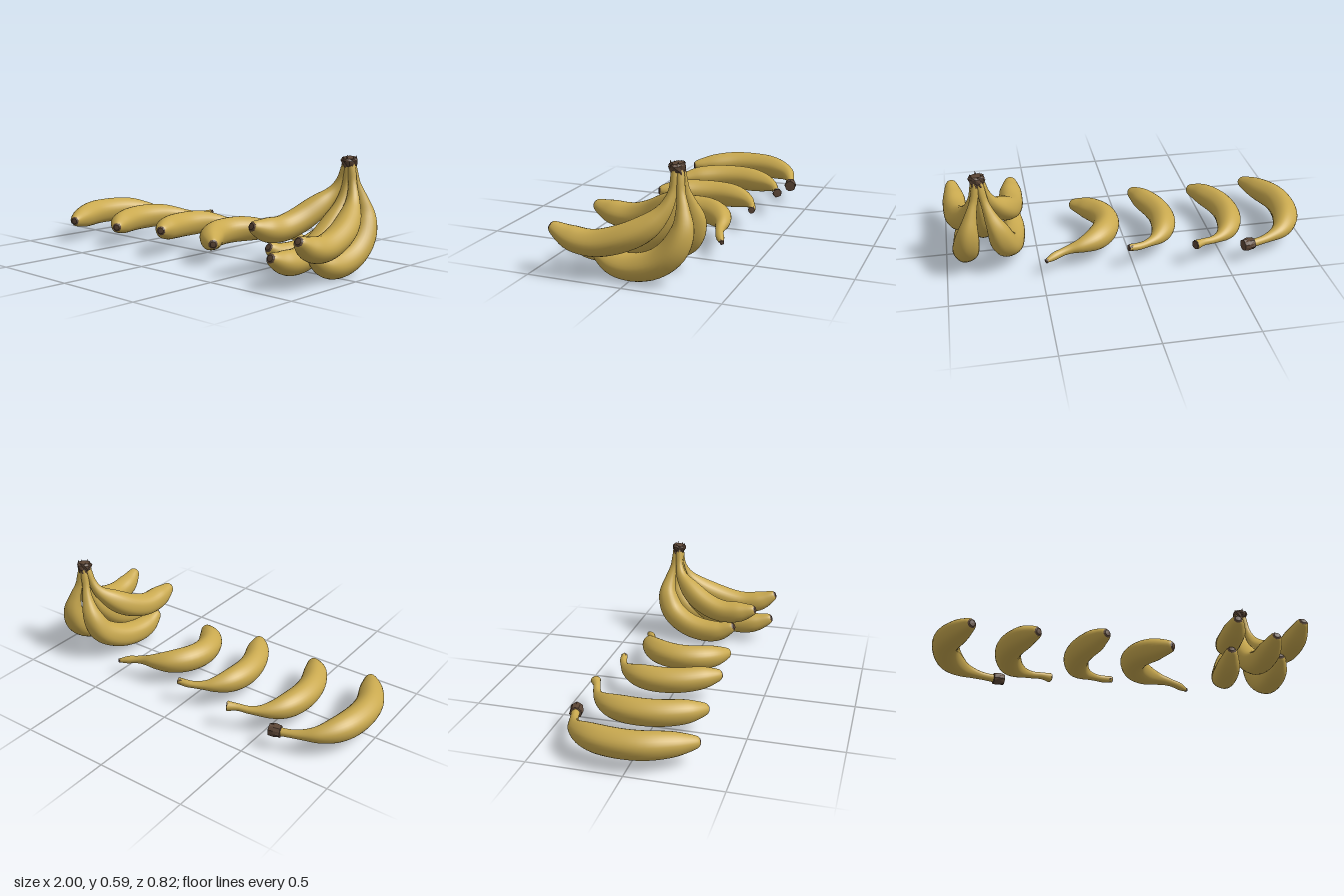
import * as THREE from 'three';

const skin = new THREE.MeshStandardMaterial({ color: 0xc9a94f });
skin.name = 'banana yellow';
const bark = new THREE.MeshStandardMaterial({ color: 0x5c4636 });
bark.name = 'dried brown';

// Sweeps rings [u, radius] along a curve; u may run slightly past either end
function sweep(curve, rings, ref, sides, wobble, flat) {
  const pos = [], idx = [];
  rings.forEach(([u, r], i) => {
    const c = Math.min(1, Math.max(0, u));
    const t = curve.getTangentAt(c);
    const p = curve.getPointAt(c).addScaledVector(t, u - c);
    const n = ref.clone().addScaledVector(t, -ref.dot(t)).normalize();
    const b = t.clone().cross(n);
    for (let j = 0; j < sides; j++) {
      const a = (j / sides) * Math.PI * 2;
      const k = r * (1 + wobble * Math.cos(5 * a + (flat ? i * 2 : 0)));
      const v = p.clone().addScaledVector(n, Math.cos(a) * k).addScaledVector(b, Math.sin(a) * k);
      pos.push(v.x, v.y, v.z);
      if (i < rings.length - 1) {
        const q = i * sides, m = (j + 1) % sides;
        idx.push(q + j, q + m, q + sides + j, q + m, q + sides + m, q + sides + j);
      }
    }
  });
  let g = new THREE.BufferGeometry();
  g.setAttribute('position', new THREE.Float32BufferAttribute(pos, 3));
  g.setIndex(idx);
  if (flat) g = g.toNonIndexed();
  g.computeVertexNormals();
  return g;
}

// One fruit: path runs from blossom tip to stem end
function banana(name, path, ref, fat, neck, end, capLength, capRadius) {
  const group = new THREE.Group();
  group.name = name;
  const curve = new THREE.CatmullRomCurve3(path.map((p) => new THREE.Vector3(...p)), false, 'centripetal');
  curve.arcLengthDivisions = 400;
  const profile = [
    [0, 0.024], [0.015, 0.032], [0.06, 0.045], [0.14, 0.062], [0.25, fat * 0.97], [0.4, fat],
    [0.54, fat * 0.98], [0.64, fat * 0.85], [0.73, fat * 0.6], [0.8, neck * 1.35], [0.87, neck], [0.94, neck], [1, end],
  ].map(([u, r]) => new THREE.Vector2(u, r));
  const rings = new THREE.SplineCurve(profile).getPoints(48).map((v) => [v.x, v.y]);
  const add = (part, geo, mat) => {
    const m = new THREE.Mesh(geo, mat);
    m.name = part;
    group.add(m);
  };
  add('skin', sweep(curve, rings, ref, 30, 0.018, false), skin);
  // Dark blossom end
  add('blossomTip', sweep(curve, [[-0.007, 0], [-0.006, 0.016], [0.002, 0.0255]], ref, 10, 0.03, true), bark);
  // Dried stem end
  const s = 1 - capLength;
  add('stemCap', sweep(curve, [[s, end * 0.8], [s + 0.003, capRadius * 0.92], [1 - capLength * 0.4, capRadius],
    [1.004, capRadius * 0.92], [1.005, 0]], ref, 11, 0.08, true), bark);
  return group;
}

export function createModel() {
  const root = new THREE.Group();
  root.name = 'bananas';
  const up = new THREE.Vector3(0, 1, 0), side = new THREE.Vector3(1, 0, 0);

  // Four loose bananas lying in a row
  const singles = [
    { path: [[-0.795, 0.125, 0.32], [-0.86, 0.13, 0.2], [-0.915, 0.135, 0.07], [-0.923, 0.135, -0.06], [-0.895, 0.133, -0.19],
      [-0.83, 0.125, -0.29], [-0.74, 0.115, -0.34], [-0.66, 0.11, -0.365], [-0.595, 0.11, -0.38]],
      fat: 0.073, neck: 0.022, end: 0.024, cap: 0.065, capR: 0.034 },
    { path: [[-0.455, 0.125, 0.28], [-0.52, 0.13, 0.19], [-0.577, 0.132, 0.06], [-0.588, 0.132, -0.08], [-0.555, 0.13, -0.21],
      [-0.495, 0.13, -0.29], [-0.43, 0.132, -0.33], [-0.375, 0.138, -0.35], [-0.325, 0.14, -0.375]],
      fat: 0.071, neck: 0.02, end: 0.027, cap: 0.008, capR: 0.026 },
    { path: [[-0.095, 0.15, 0.27], [-0.14, 0.145, 0.19], [-0.195, 0.138, 0.07], [-0.212, 0.135, -0.05], [-0.19, 0.135, -0.17],
      [-0.14, 0.132, -0.25], [-0.085, 0.13, -0.29], [-0.03, 0.13, -0.315], [0.03, 0.135, -0.33]],
      fat: 0.07, neck: 0.02, end: 0.018, cap: 0.045, capR: 0.019 },
    { path: [[0.265, 0.12, 0.235], [0.19, 0.125, 0.17], [0.125, 0.132, 0.08], [0.104, 0.135, -0.02], [0.127, 0.137, -0.12],
      [0.19, 0.135, -0.2], [0.27, 0.13, -0.245], [0.35, 0.118, -0.26], [0.41, 0.108, -0.28], [0.475, 0.095, -0.315]],
      fat: 0.071, neck: 0.021, end: 0.01, cap: 0.045, capR: 0.0125 },
  ];
  singles.forEach((b, i) =>
    root.add(banana('looseBanana' + (i + 1), b.path, up, b.fat, b.neck, b.end, b.cap, b.capR)));

  // Bunch of five joined at the crown
  const bunch = new THREE.Group();
  bunch.name = 'bunch';
  const fruits = {
    middle: [[0.79, 0.15, 0.395], [0.785, 0.115, 0.3], [0.782, 0.105, 0.18], [0.782, 0.155, 0.02], [0.785, 0.26, -0.11],
      [0.79, 0.36, -0.175], [0.795, 0.46, -0.2], [0.798, 0.56, -0.205]],
    upperLeft: [[0.948, 0.25, 0.388], [0.938, 0.2, 0.29], [0.932, 0.185, 0.17], [0.915, 0.228, 0.01], [0.885, 0.29, -0.1],
      [0.855, 0.37, -0.17], [0.83, 0.46, -0.2], [0.813, 0.56, -0.205]],
    upperRight: [[0.608, 0.268, 0.32], [0.615, 0.24, 0.22], [0.622, 0.235, 0.1], [0.65, 0.275, -0.02], [0.695, 0.345, -0.12],
      [0.735, 0.41, -0.18], [0.765, 0.48, -0.2], [0.788, 0.56, -0.205]],
    lowerLeft: [[0.88, 0.13, 0.19], [0.885, 0.083, 0.1], [0.888, 0.072, -0.01], [0.89, 0.105, -0.13], [0.885, 0.18, -0.22],
      [0.87, 0.28, -0.262], [0.85, 0.37, -0.255], [0.825, 0.46, -0.235], [0.808, 0.55, -0.225]],
    lowerRight: [[0.606, 0.145, 0.19], [0.615, 0.1, 0.1], [0.628, 0.09, 0], [0.65, 0.115, -0.12], [0.685, 0.18, -0.22],
      [0.715, 0.28, -0.262], [0.75, 0.37, -0.255], [0.777, 0.46, -0.235], [0.793, 0.55, -0.225]],
  };
  for (const [key, path] of Object.entries(fruits)) {
    const fat = key.startsWith('lower') ? 0.071 : 0.068;
    bunch.add(banana(key + 'Banana', path, side, fat, 0.022, 0.019, 0.04, 0.021));
  }

  // Woody crown with an uneven cut top
  const crownPath = new THREE.LineCurve3(new THREE.Vector3(0.8, 0.525, -0.215), new THREE.Vector3(0.803, 0.582, -0.207));
  const crown = new THREE.Mesh(
    sweep(crownPath, [[0, 0], [0, 0.024], [0.4, 0.036], [0.8, 0.042], [1, 0.036], [1.003, 0]], side, 13, 0.1, true), bark);
  crown.name = 'crown';
  bunch.add(crown);
  for (let i = 0; i < 6; i++) {
    const a = (i / 6) * Math.PI * 2 + 0.4;
    const shard = new THREE.Mesh(new THREE.ConeGeometry(0.013, 0.045, 4).toNonIndexed(), bark);
    shard.geometry.computeVertexNormals();
    shard.name = 'crownShard';
    shard.position.set(0.803 + 0.03 * Math.cos(a), 0.568 + 0.005 * (i % 2), -0.208 + 0.027 * Math.sin(a));
    shard.rotation.set(0.35 * Math.sin(a), a, -0.35 * Math.cos(a));
    bunch.add(shard);
  }
  root.add(bunch);
  return root;
}
